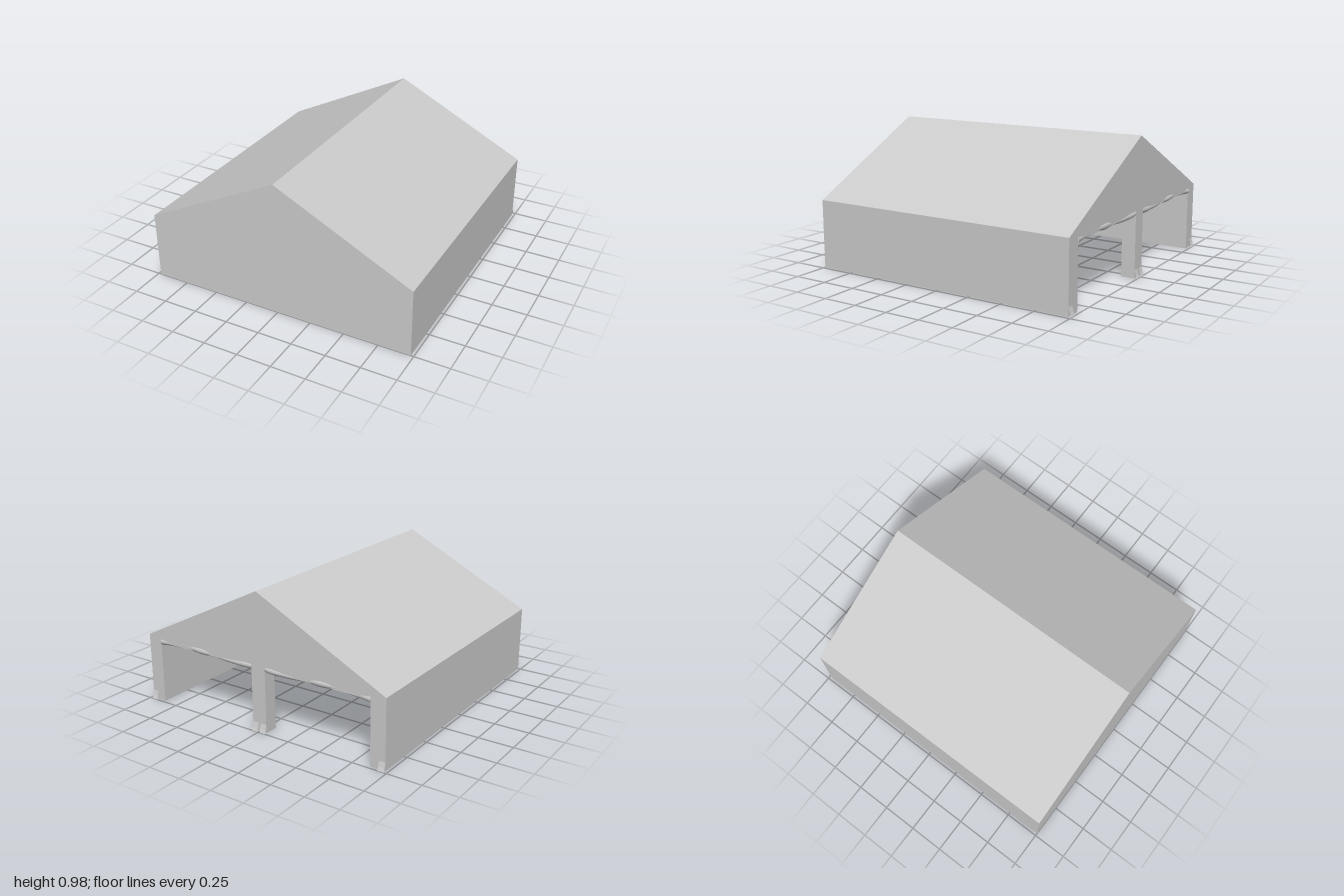
import * as THREE from 'three';

const W = 0.98, BACK = -0.98, FRONT = 1, EAVE = 0.49, RIDGE = 0.98; // outer shell
const IN = 0.87, IN_FRONT = 0.87, CEIL = 0.45, POST = 0.055;         // inner room
const sheetMat = new THREE.MeshStandardMaterial({ color: 0xcccccc, flatShading: true, side: THREE.DoubleSide });
const softMat = new THREE.MeshStandardMaterial({ color: 0xcccccc });

function add(group, name, geometry, material = sheetMat) {
  const mesh = new THREE.Mesh(geometry, material);
  mesh.name = name;
  group.add(mesh);
  return mesh;
}

// Flat quads stretched between two matching polylines
function ruled(a, b) {
  const pos = [];
  for (let i = 0; i + 1 < a.length; i++) {
    pos.push(...a[i], ...a[i + 1], ...b[i + 1], ...a[i], ...b[i + 1], ...b[i]);
  }
  const g = new THREE.BufferGeometry();
  g.setAttribute('position', new THREE.Float32BufferAttribute(pos, 3));
  g.computeVertexNormals();
  return g;
}

// Upright sheet following a plan path of [x, z] points
const upright = (path, top) => ruled(path.map(([x, z]) => [x, 0, z]), path.map(([x, z]) => [x, top, z]));

// Profile of [x, y] points swept along z
const alongZ = (profile, z0, z1) => ruled(profile.map(([x, y]) => [x, y, z0]), profile.map(([x, y]) => [x, y, z1]));

const flat = (points) => new THREE.ShapeGeometry(new THREE.Shape(points.map(([x, y]) => new THREE.Vector2(x, y))));

// Rolled-up door cloth, slightly lumpy and sagging
function clothRoll(x0, x1, phase) {
  const g = new THREE.CylinderGeometry(1, 1, x1 - x0, 10, 18);
  g.rotateZ(Math.PI / 2);
  const p = g.attributes.position;
  for (let i = 0; i < p.count; i++) {
    const x = p.getX(i);
    const r = 0.021 + 0.004 * Math.sin(x * 17 + phase) + 0.002 * Math.sin(x * 31 + phase);
    const sag = 0.006 * Math.sin(x * 9 + phase);
    p.setXYZ(i, x + (x0 + x1) / 2, 0.458 + sag + p.getY(i) * r, -0.962 + p.getZ(i) * r);
  }
  g.computeVertexNormals();
  return g;
}

export function createModel() {
  const model = new THREE.Group();
  model.name = 'tent';

  // Outer cover
  const roof = [[W, EAVE], [0, RIDGE], [-W, EAVE]];
  add(model, 'roof', alongZ(roof, FRONT, BACK));
  add(model, 'frontWall', flat([[-W, 0], [W, 0], ...roof])).position.z = FRONT;
  const backWall = flat([
    [-W, 0], [-IN, 0], [-IN, CEIL], [-POST, CEIL], [-POST, 0],
    [POST, 0], [POST, CEIL], [IN, CEIL], [IN, 0], [W, 0], ...roof,
  ]);
  backWall.rotateY(Math.PI);
  add(model, 'backWall', backWall).position.z = BACK;
  add(model, 'leftWall', upright([[W, FRONT], [W, BACK]], EAVE));
  add(model, 'rightWall', upright([[-W, BACK], [-W, FRONT]], EAVE));

  // Inner lining and flat ceiling
  add(model, 'innerWalls', upright([[IN, BACK], [IN, IN_FRONT], [-IN, IN_FRONT], [-IN, BACK]], CEIL));
  add(model, 'ceiling', alongZ([[-IN, CEIL], [IN, CEIL]], IN_FRONT, BACK));

  // Frame rib around the middle of the room
  const rib = add(model, 'ceilingRib', new THREE.BoxGeometry(IN * 2, 0.02, 0.03));
  rib.position.set(0, CEIL - 0.01, 0);
  for (const s of [1, -1]) {
    const wallRib = add(model, s > 0 ? 'leftWallRib' : 'rightWallRib', new THREE.BoxGeometry(0.02, CEIL, 0.03));
    wallRib.position.set(s * (IN - 0.01), CEIL / 2, 0);
  }

  // Hollow posts on the centre line
  const post = (name, x, z0, z1) =>
    add(model, name, upright([[-x, z0], [-x, z1], [x, z1], [x, z0], [-x, z0]], CEIL));
  post('backPost', POST, BACK, -0.88);
  post('middlePost', 0.05, -0.01, 0.085);

  // Rolled door cloths above the two openings
  add(model, 'leftDoorRoll', clothRoll(POST, IN, 0.6), softMat);
  add(model, 'rightDoorRoll', clothRoll(-IN, -POST, 2.4), softMat);

  // Small flared cloth feet at the bottom of the back uprights
  for (const [a, b] of [[0.935, W], [0.01, POST], [-POST, -0.01], [-W, -0.935]]) {
    add(model, 'clothFoot', ruled(
      [[b, 0.06, BACK], [b, 0.025, BACK - 0.01], [b, 0, -1], [b, 0, BACK]],
      [[a, 0.06, BACK], [a, 0.025, BACK - 0.01], [a, 0, -1], [a, 0, BACK]],
    ));
  }
  return model;
}
